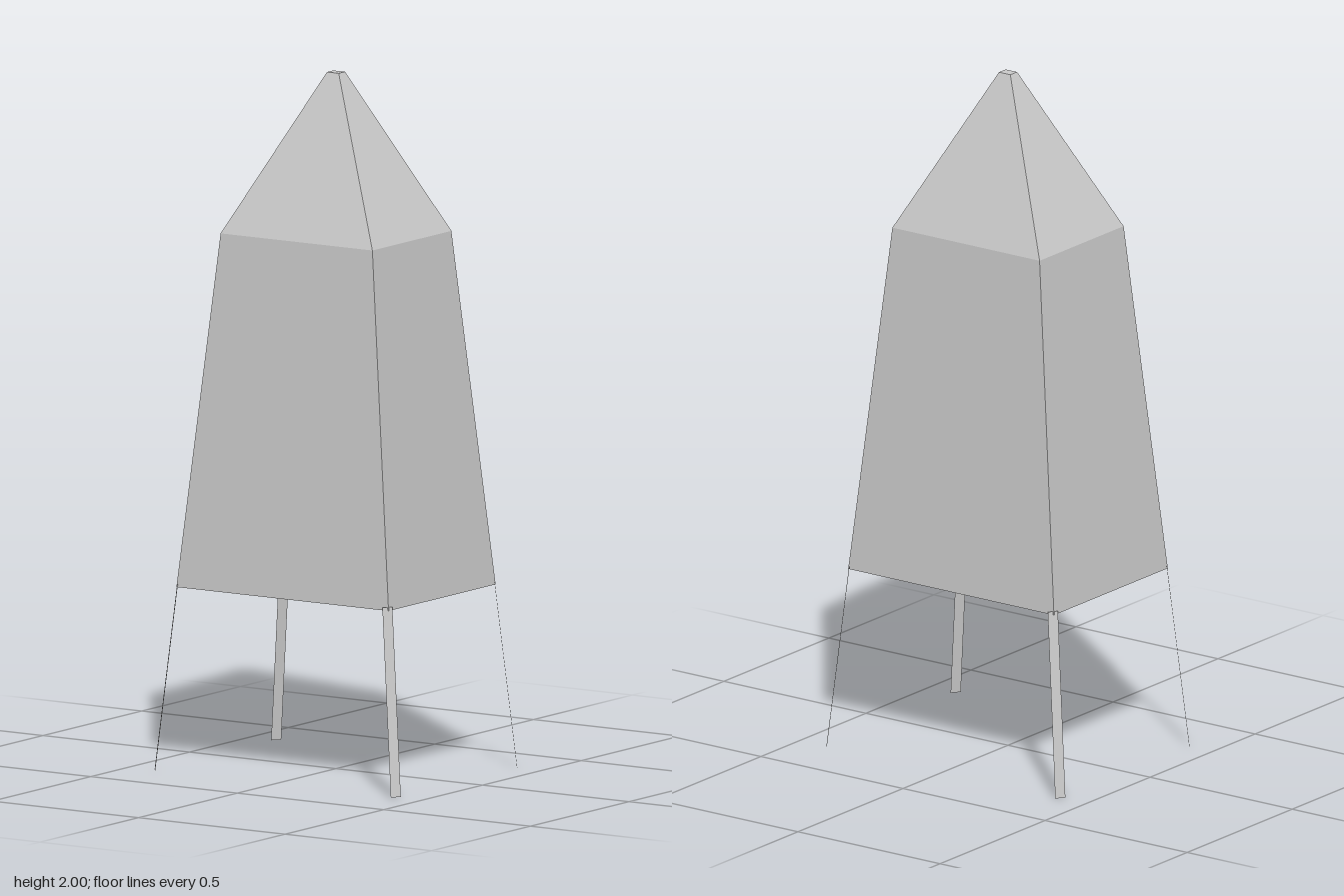
import * as THREE from 'three';

const CORNERS = [[1, 1], [1, -1], [-1, -1], [-1, 1]];

// Closed flat-sided solid through rectangular sections [y, halfX, halfZ]
function loftRectangles(sections) {
  const pos = [], idx = [];
  for (const [y, hx, hz] of sections)
    for (const [sx, sz] of CORNERS) pos.push(sx * hx, y, sz * hz);
  for (let s = 0; s < sections.length - 1; s++) {
    for (let i = 0; i < 4; i++) {
      const a = s * 4 + i, b = s * 4 + (i + 1) % 4;
      idx.push(a, b, b + 4, a, b + 4, a + 4);
    }
  }
  const t = (sections.length - 1) * 4;
  idx.push(0, 2, 1, 0, 3, 2, t, t + 1, t + 2, t, t + 2, t + 3);
  const indexed = new THREE.BufferGeometry();
  indexed.setAttribute('position', new THREE.Float32BufferAttribute(pos, 3));
  indexed.setIndex(idx);
  const geo = indexed.toNonIndexed();
  geo.computeVertexNormals();
  return geo;
}

export function createModel() {
  const model = new THREE.Group();
  model.name = 'taperedTower';

  // Tapered body with a pyramid roof ending in a tiny flat tip
  const body = new THREE.Mesh(
    loftRectangles([[0.525, 0.362, 0.271], [1.54, 0.259, 0.2], [2, 0.02, 0.016]]),
    new THREE.MeshStandardMaterial({ color: 0xcccccc, flatShading: true })
  );
  body.name = 'bodyAndRoof';
  model.add(body);

  // Thin flat strip legs continuing the body's corner edges to the ground
  const legMaterial = new THREE.MeshStandardMaterial({
    color: 0xcccccc, flatShading: true, side: THREE.DoubleSide
  });
  const names = ['frontLeftLeg', 'backLeftLeg', 'backRightLeg', 'frontRightLeg'];
  CORNERS.forEach(([sx, sz], i) => {
    const foot = new THREE.Vector3(sx * 0.411, 0, sz * 0.307);
    const top = new THREE.Vector3(sx * 0.358, 0.535, sz * 0.271);
    const along = top.clone().sub(foot);
    const length = along.length();
    along.normalize();
    const across = new THREE.Vector3(0, 1, 0).cross(foot).normalize();
    const out = across.clone().cross(along).normalize();
    const geo = new THREE.PlaneGeometry(0.03, length);
    geo.applyMatrix4(new THREE.Matrix4().makeBasis(across, along, out));
    const leg = new THREE.Mesh(geo, legMaterial);
    leg.position.copy(foot).add(top).multiplyScalar(0.5);
    leg.name = names[i];
    model.add(leg);
  });

  return model;
}
